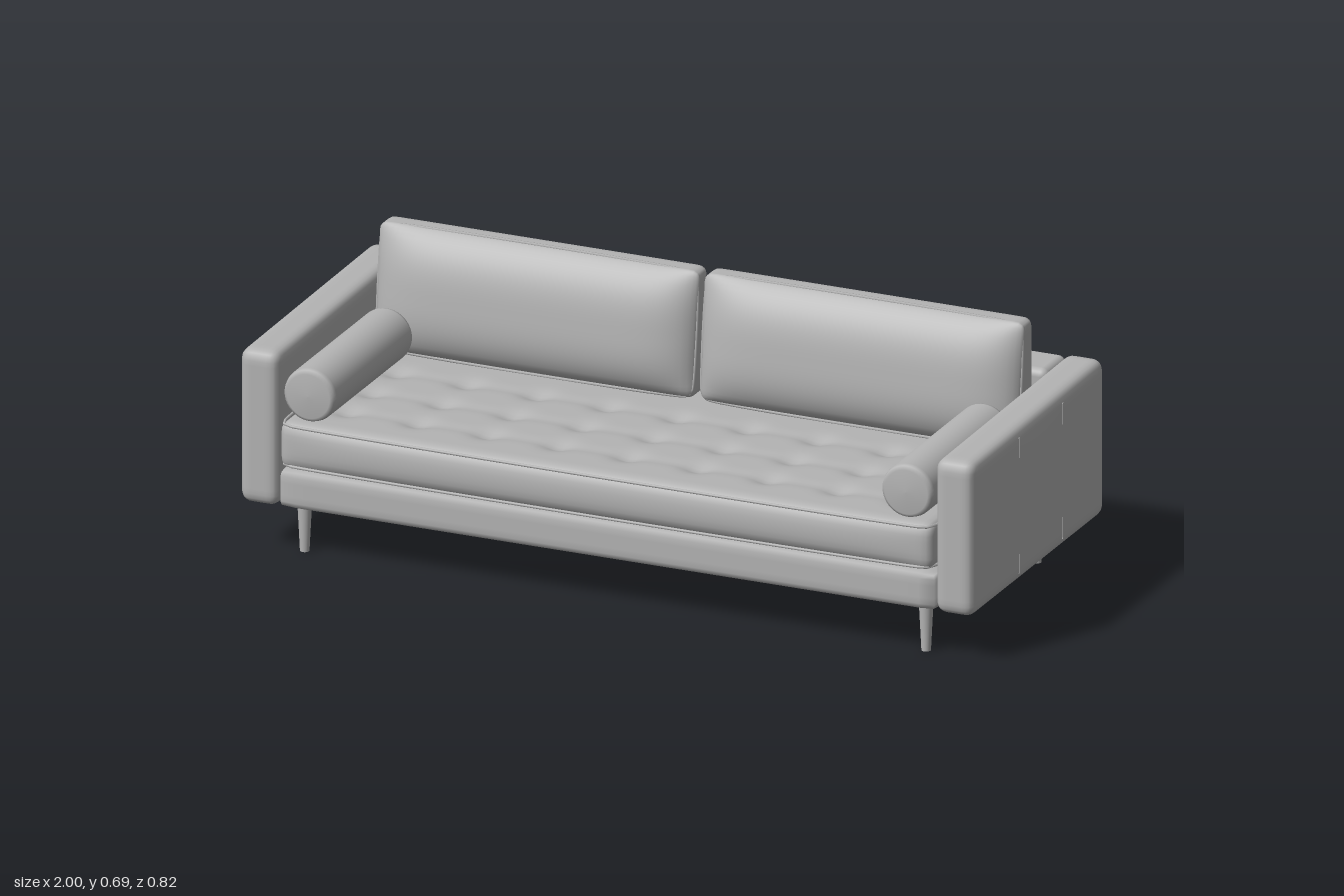
import * as THREE from 'three';
import { mergeVertices } from 'three/addons/utils/BufferGeometryUtils.js';
import { RoundedBoxGeometry } from 'three/addons/geometries/RoundedBoxGeometry.js';

const upholstery = new THREE.MeshStandardMaterial({ color: 0xb4b4b4 });
upholstery.name = 'upholstery grey';

function add(parent, name, geometry, x = 0, y = 0, z = 0) {
  const mesh = new THREE.Mesh(geometry, upholstery);
  mesh.name = name;
  mesh.position.set(x, y, z);
  parent.add(mesh);
  return mesh;
}

// Finely divided rounded box whose vertices are then moved by a rule(p, u, v, w), u/v/w in -1..1
function softBox(w, h, d, r, segs, rule) {
  let g = new THREE.BoxGeometry(w, h, d, ...segs);
  g.deleteAttribute('uv');
  g.deleteAttribute('normal');
  g = mergeVertices(g);
  const pos = g.attributes.position;
  const p = new THREE.Vector3(), core = new THREE.Vector3();
  const limit = new THREE.Vector3(w / 2 - r, h / 2 - r, d / 2 - r);
  const low = limit.clone().negate();
  for (let i = 0; i < pos.count; i++) {
    p.fromBufferAttribute(pos, i);
    core.copy(p).clamp(low, limit);
    p.sub(core).normalize().multiplyScalar(r).add(core);
    rule(p, p.x * 2 / w, p.y * 2 / h, p.z * 2 / d);
    pos.setXYZ(i, p.x, p.y, p.z);
  }
  g.computeVertexNormals();
  return g;
}

// Closed piping cord around a rounded rectangle; place(a, b) maps it into space
function piping(w, h, r, place) {
  const points = [];
  for (let k = 0; k < 4; k++) {
    const sx = k === 0 || k === 3 ? 1 : -1, sy = k < 2 ? 1 : -1;
    for (let j = 0; j <= 3; j++) {
      const t = (k + j / 3) * Math.PI / 2;
      points.push(place(sx * (w / 2 - r) + r * Math.cos(t), sy * (h / 2 - r) + r * Math.sin(t)));
    }
  }
  const curve = new THREE.CatmullRomCurve3(points, true, 'centripetal');
  return new THREE.TubeGeometry(curve, 160, 0.004, 6, true);
}

// Back cushion front plane leans backwards toward the top
const lean = (v) => -0.018 * (v + 1);
const bulge = (u, v) => (1 - Math.pow(Math.abs(u), 8)) * (1 - Math.pow(Math.abs(v), 3));

export function createModel() {
  const sofa = new THREE.Group();
  sofa.name = 'sofa';

  // Base with slightly sagging underside, and the back panel
  add(sofa, 'base', softBox(1.78, 0.1, 0.785, 0.015, [40, 6, 24], (p, u, v, w) => {
    if (v < 0) p.y -= 0.007 * (1 - u * u) * (1 - w * w);
  }), 0, 0.175, -0.005);
  add(sofa, 'backPanel', new RoundedBoxGeometry(1.785, 0.4, 0.13, 5, 0.02), 0, 0.332, -0.345);

  // Seat cushion with rows of tufts on top
  add(sofa, 'seatCushion', softBox(1.77, 0.122, 0.675, 0.025, [118, 8, 48], (p, u, v, w) => {
    if (v > 0.6) {
      let dip = 0;
      for (const z of [-0.1, 0.05, 0.195]) {
        for (let i = -4; i <= 4; i++) {
          const dx = p.x - i * 0.19, dz = p.z - z;
          dip += Math.exp(-(dx * dx + dz * dz) / 0.0012);
        }
        dip += 0.25 * Math.exp(-Math.pow((p.z - z) / 0.018, 2)) * (1 - Math.pow(u, 8));
      }
      p.y -= 0.013 * dip;
    }
    if (w > 0) p.z += 0.012 * w * (1 - v * v) * (1 - Math.pow(u, 8));
  }), 0, 0.294, 0.06);
  for (const y of [0.242, 0.348]) {
    add(sofa, 'seatPiping', piping(1.765, 0.67, 0.03, (a, b) => new THREE.Vector3(a, y, b + 0.06)));
  }

  for (const s of [-1, 1]) {
    const side = s > 0 ? 'left' : 'right';

    // Arm, rising very slightly toward the rear, with two upright seams outside
    add(sofa, side + 'Arm', softBox(0.105, 0.41, 0.804, 0.027, [10, 30, 50], (p, u, v, w) => {
      if (v > 0) p.y -= 0.004 * w * v;
      p.x += s * 0.004 * (s * u > 0 ? 1 : 0) * (1 - v * v) * (1 - w * w);
    }), s * 0.942, 0.33, -0.008);
    for (const z of [0.115, -0.148]) {
      add(sofa, side + 'ArmSeam', new THREE.BoxGeometry(0.003, 0.36, 0.003), s * 0.9955, 0.33, z);
    }

    // Plump back cushion with piping round its front face
    const cushion = new THREE.Group();
    cushion.name = side + 'BackCushion';
    cushion.position.set(s * 0.44, 0.522, -0.2);
    sofa.add(cushion);
    add(cushion, 'backCushionBody', softBox(0.866, 0.328, 0.1, 0.022, [56, 28, 10], (p, u, v, w) => {
      if (w > 0) p.z += w * (lean(v) + 0.052 * bulge(u, v));
      else p.z += w * 0.027 * bulge(u, v);
    }));
    add(cushion, 'backCushionPiping', piping(0.856, 0.318, 0.025, (a, b) =>
      new THREE.Vector3(a, b, 0.042 + lean(b / 0.164))));

    // Bolster with rounded ends
    const profile = [[0, -0.245], [0.058, -0.243], [0.067, -0.236], [0.07, -0.225],
      [0.07, 0.225], [0.067, 0.236], [0.058, 0.243], [0, 0.245]].map(([r, y]) => new THREE.Vector2(r, y));
    const bolster = add(sofa, side + 'Bolster', new THREE.LatheGeometry(profile, 40), s * 0.81, 0.43, 0.142);
    bolster.rotation.x = Math.PI / 2;

    // Tapered legs
    for (const z of [0.334, -0.335]) {
      add(sofa, side + (z > 0 ? 'FrontLeg' : 'BackLeg'),
        new THREE.CylinderGeometry(0.019, 0.012, 0.14, 24), s * 0.842, 0.07, z);
    }
  }
  return sofa;
}
